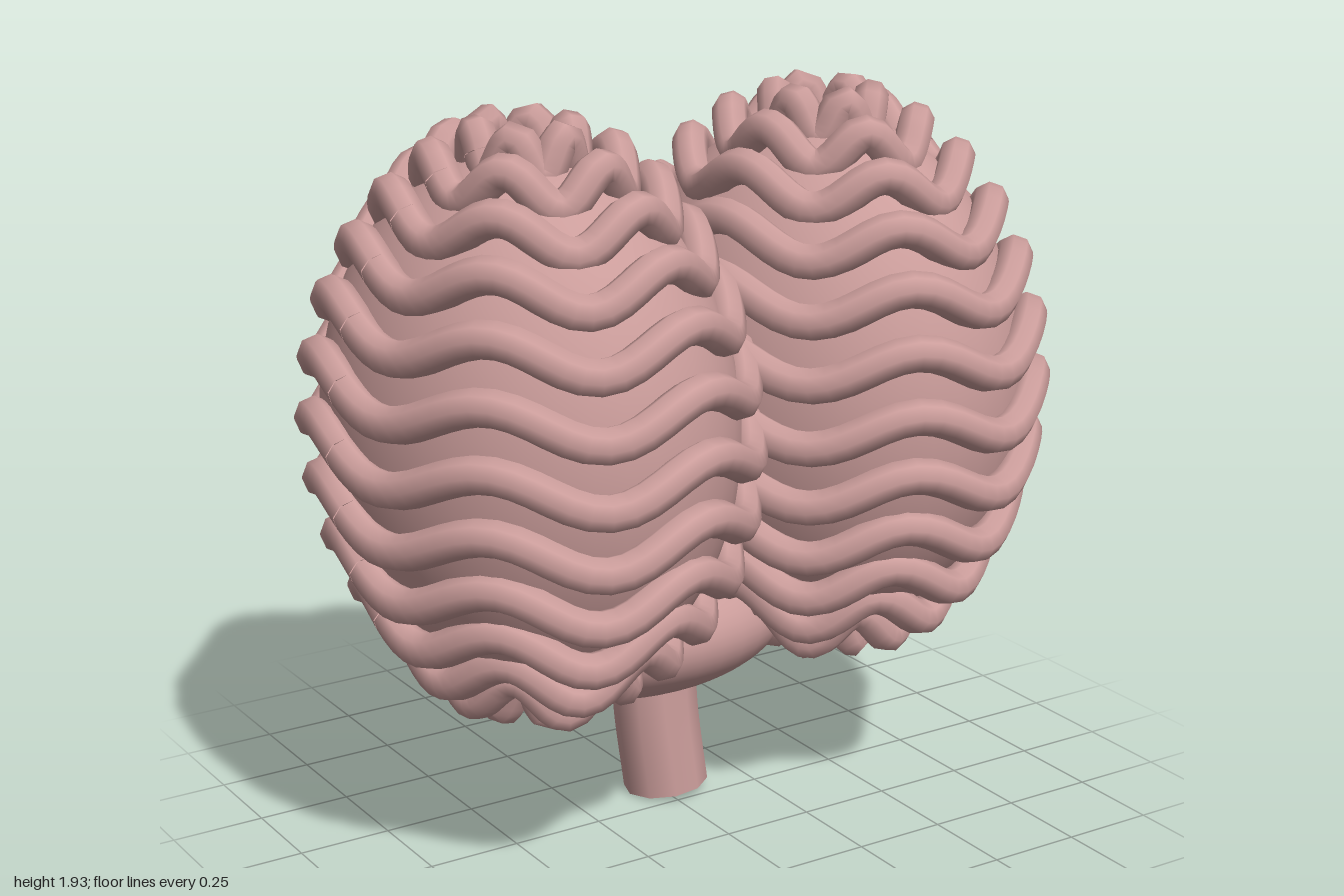
import * as THREE from 'three';

const pink = new THREE.MeshStandardMaterial({ color: 0xcb9d9b, side: THREE.DoubleSide });
pink.name = 'tissue pink';

function add(parent, name, geometry) {
  const mesh = new THREE.Mesh(geometry, pink);
  mesh.name = name;
  parent.add(mesh);
  return mesh;
}

function ellipsoid(parent, name, center, radii) {
  const mesh = add(parent, name, new THREE.SphereGeometry(1, 40, 28));
  mesh.position.set(...center);
  mesh.scale.set(...radii);
}

// One wavy fold: a ring around the lobe at a given latitude, its seam facing outward
function foldGeometry(side, latitude) {
  const points = [];
  const steps = 60;
  for (let i = 0; i <= steps; i++) {
    const a = (i / steps) * Math.PI * 2;
    points.push(new THREE.Vector3(
      side * 0.51 * Math.cos(latitude) * Math.cos(a),
      0.71 * Math.sin(latitude) + 0.044 * Math.sin(6 * a),
      -0.635 * Math.cos(latitude) * Math.sin(a)
    ));
  }
  return new THREE.TubeGeometry(new THREE.CatmullRomCurve3(points), 80, 0.047, 8, false);
}

function createLobe(side) {
  const lobe = new THREE.Group();
  lobe.name = side > 0 ? 'leftLobe' : 'rightLobe';
  lobe.position.set(side * 0.443, 1.15, 0);
  ellipsoid(lobe, 'lobeCore', [0, 0, 0], [0.495, 0.69, 0.615]);
  for (let k = -6; k <= 6; k++) {
    add(lobe, 'fold', foldGeometry(side, (k * Math.PI) / 14));
  }
  return lobe;
}

export function createModel() {
  const model = new THREE.Group();
  model.name = 'brain';
  for (const side of [-1, 1]) model.add(createLobe(side));

  // Smooth lower back part
  ellipsoid(model, 'cerebellum', [0, 0.475, -0.25], [0.465, 0.21, 0.37]);

  // Short, slightly bent, open stem
  const stemCurve = new THREE.CatmullRomCurve3([
    new THREE.Vector3(0, 0.5, -0.13),
    new THREE.Vector3(0, 0.25, -0.115),
    new THREE.Vector3(0.022, 0.015, -0.098),
  ]);
  add(model, 'brainStem', new THREE.TubeGeometry(stemCurve, 16, 0.115, 10, false));
  return model;
}
